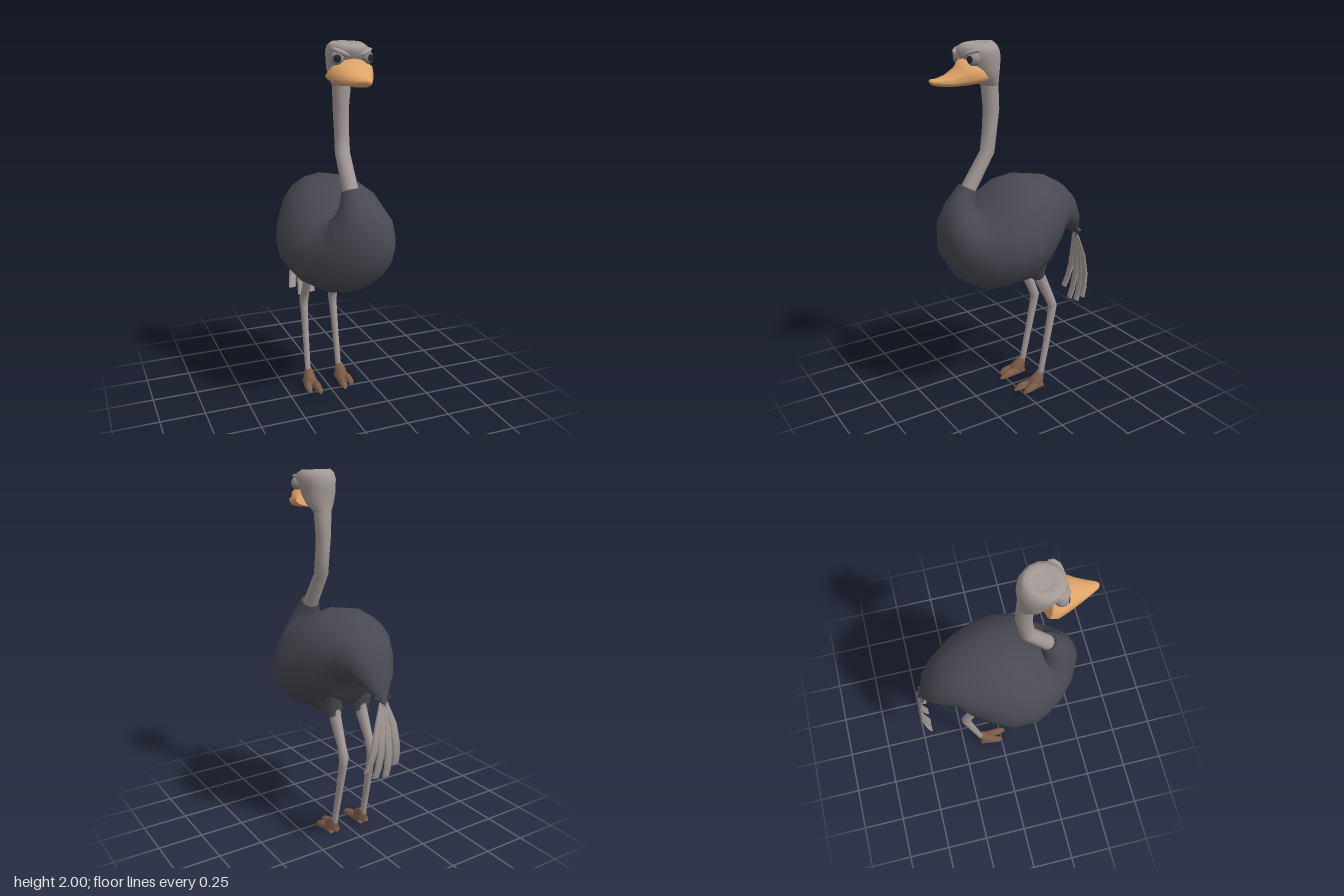
import * as THREE from 'three';

const mat = (name, color, side = THREE.FrontSide) => {
  const m = new THREE.MeshStandardMaterial({ color, side });
  m.name = name;
  return m;
};

// Skin over elliptical sections: [z0, y0, z1, y1, halfWidth, x, m].
// (z0,y0) and (z1,y1) are opposite rim points; m says where between them it is widest.
function loft(sections, sides) {
  const pos = [], idx = [];
  const ring = ([z0, y0, z1, y1, w, x = 0, m = 0.5]) => {
    const zc = z0 + (z1 - z0) * m, yc = y0 + (y1 - y0) * m;
    for (let i = 0; i < sides; i++) {
      const a = (i / sides) * Math.PI * 2, s = Math.sin(a);
      const z = s > 0 ? z1 : z0, y = s > 0 ? y1 : y0, k = Math.abs(s);
      pos.push(x + w * Math.cos(a), yc + (y - yc) * k, zc + (z - zc) * k);
    }
  };
  sections.forEach(ring);
  for (let j = 0; j < sections.length - 1; j++) {
    for (let i = 0; i < sides; i++) {
      const a = j * sides + i, b = j * sides + (i + 1) % sides;
      idx.push(a, b, a + sides, b, b + sides, a + sides);
    }
  }
  // End caps have their own vertices so the rim stays crisp
  [sections[0], sections[sections.length - 1]].forEach((s, end) => {
    const start = pos.length / 3;
    ring(s);
    for (let i = 1; i < sides - 1; i++) {
      idx.push(start, start + i + (end ? 0 : 1), start + i + (end ? 1 : 0));
    }
  });
  // Turn the faces outward whatever way the sections run
  const p = i => new THREE.Vector3().fromArray(pos, i * 3);
  let volume = 0;
  for (let i = 0; i < idx.length; i += 3) {
    volume += p(idx[i]).dot(p(idx[i + 1]).cross(p(idx[i + 2])));
  }
  if (volume < 0) idx.reverse();
  const g = new THREE.BufferGeometry();
  g.setAttribute('position', new THREE.Float32BufferAttribute(pos, 3));
  g.setIndex(idx);
  g.computeVertexNormals();
  return g;
}

export function createModel() {
  const plumage = mat('dark plumage', 0x484952);
  const skin = mat('grey skin', 0xa59b98);
  const beakMat = mat('orange beak', 0xe0a468);
  const footMat = mat('brown feet', 0x7c5c4a);
  const eyeMat = mat('grey eye', 0x8d8d92);
  const pupilMat = mat('dark pupil', 0x26272c);

  const model = new THREE.Group();
  const add = (name, geometry, material, parent = model) => {
    const mesh = new THREE.Mesh(geometry, material);
    mesh.name = name;
    parent.add(mesh);
    return mesh;
  };

  // Body from the drooping tail forward to the chest, then up into the neck collar
  add('body', loft([
    [-0.435, 0.875, -0.46, 0.87, 0.012],
    [-0.40, 0.895, -0.44, 0.93, 0.045],
    [-0.35, 0.925, -0.415, 1.04, 0.10],
    [-0.28, 0.945, -0.37, 1.14, 0.14],
    [-0.22, 0.92, -0.30, 1.21, 0.175],
    [-0.185, 0.84, -0.20, 1.265, 0.23],
    [-0.13, 0.76, -0.05, 1.29, 0.285],
    [0.0, 0.70, 0.06, 1.27, 0.328, 0, 0.46],
    [0.15, 0.69, 0.16, 1.21, 0.322, 0, 0.48],
    [0.25, 0.70, 0.22, 1.165, 0.28, 0, 0.48],
    [0.35, 0.765, 0.245, 1.15, 0.235],
    [0.43, 0.90, 0.25, 1.145, 0.18],
    [0.45, 1.06, 0.245, 1.155, 0.125],
    [0.41, 1.18, 0.24, 1.195, 0.078],
    [0.325, 1.285, 0.232, 1.235, 0.052],
  ], 16), plumage);

  // Ragged tips at the end of the tail
  for (let i = -2; i <= 2; i++) {
    const tip = add('tailTip', new THREE.ConeGeometry(0.013, 0.06, 5), plumage);
    tip.position.set(i * 0.012, 0.88, -0.447 + Math.abs(i) * 0.006);
    tip.rotation.set(Math.PI + 0.5 - Math.abs(i) * 0.3, 0, i * 0.3);
  }

  // Fan of four long, thin tail feathers
  for (const [end, low] of [[-0.09, 0.5], [-0.03, 0.445], [0.035, 0.455], [0.09, 0.5]]) {
    const fan = [[0, -0.435, 0.012], [0.35, -0.462, 0.024], [0.65, -0.466, 0.026],
      [0.85, -0.452, 0.025], [1, -0.432, 0.024]];
    add('tailFeather', loft(fan.map(([t, z, w]) => {
      const y = 0.89 + (low - 0.89) * t;
      return [z + 0.006, y, z - 0.006, y, w, end * (0.1 + 0.9 * Math.pow(t, 0.7))];
    }), 6), skin);
  }

  // Curved neck
  add('neck', loft([
    [0.33, 1.22, 0.25, 1.18, 0.042],
    [0.312, 1.27, 0.238, 1.235, 0.042],
    [0.195, 1.445, 0.12, 1.43, 0.04],
    [0.182, 1.55, 0.104, 1.54, 0.039],
    [0.175, 1.66, 0.088, 1.655, 0.041],
    [0.184, 1.79, 0.095, 1.79, 0.05],
  ], 12), skin);

  // Head with a slightly dished crown
  const head = new THREE.Group();
  head.name = 'head';
  model.add(head);
  add('skull', loft([
    [0.184, 1.78, 0.095, 1.78, 0.05],
    [0.23, 1.815, 0.096, 1.83, 0.078],
    [0.27, 1.87, 0.092, 1.87, 0.093],
    [0.29, 1.915, 0.088, 1.915, 0.098],
    [0.318, 1.945, 0.09, 1.95, 0.105],
    [0.312, 1.975, 0.105, 1.98, 0.099],
    [0.28, 1.99, 0.125, 2.0, 0.076],
    [0.245, 1.984, 0.155, 1.986, 0.045],
  ], 14), skin, head);

  // Broad, flat beak tapering to a rounded tip
  add('beak', loft([
    [0.20, 1.80, 0.24, 1.89, 0.118, 0, 0.38],
    [0.235, 1.795, 0.29, 1.92, 0.126, 0, 0.33],
    [0.30, 1.79, 0.32, 1.882, 0.10, 0, 0.35],
    [0.37, 1.788, 0.38, 1.848, 0.066, 0, 0.4],
    [0.43, 1.793, 0.43, 1.834, 0.038],
    [0.465, 1.803, 0.465, 1.832, 0.02],
    [0.476, 1.815, 0.476, 1.828, 0.008],
  ], 12), beakMat, head);

  for (const side of [1, -1]) {
    const label = side > 0 ? 'left' : 'right';

    // Eye, pupil and frowning brow
    const eye = add(label + 'Eye', new THREE.SphereGeometry(0.034, 14, 10), eyeMat, head);
    eye.position.set(side * 0.077, 1.922, 0.272);
    const pupil = add(label + 'Pupil',
      new THREE.SphereGeometry(0.0355, 14, 4, 0, Math.PI * 2, 0, 0.55).rotateX(Math.PI / 2), pupilMat, head);
    pupil.position.copy(eye.position);
    pupil.rotation.y = side * 0.35;
    const brow = add(label + 'Brow', new THREE.SphereGeometry(1, 10, 6), skin, head);
    brow.scale.set(0.054, 0.015, 0.04);
    brow.position.set(side * 0.056, 1.948, 0.275);
    brow.rotation.set(0, side * 0.35, side * 0.35);

    // Feathered thigh
    add(label + 'Thigh', loft([
      [0.0, 0.84, -0.17, 0.88, 0.085, side * 0.11],
      [-0.035, 0.75, -0.155, 0.79, 0.066, side * 0.095],
      [-0.05, 0.712, -0.15, 0.745, 0.052, side * 0.09],
      [-0.085, 0.686, -0.15, 0.722, 0.043, side * 0.088],
    ], 10), plumage);

    // Leg bending back at the knobbly joint
    add(label + 'Leg', loft([
      [-0.075, 0.73, -0.15, 0.76, 0.034, side * 0.086],
      [-0.092, 0.685, -0.155, 0.715, 0.032, side * 0.087],
      [-0.165, 0.55, -0.217, 0.57, 0.023, side * 0.09],
      [-0.19, 0.495, -0.242, 0.505, 0.028, side * 0.091],
      [-0.185, 0.455, -0.234, 0.45, 0.023, side * 0.092],
      [-0.155, 0.28, -0.195, 0.27, 0.019, side * 0.095],
      [-0.115, 0.07, -0.15, 0.065, 0.017, side * 0.098],
    ], 10), skin);

    // Foot: ankle cuff and two toes
    const foot = new THREE.Group();
    foot.name = label + 'Foot';
    model.add(foot);
    add('ankle', loft([
      [-0.11, 0.092, -0.147, 0.088, 0.022, side * 0.098],
      [-0.085, 0.075, -0.149, 0.06, 0.031, side * 0.1],
      [-0.045, 0.042, -0.146, 0.022, 0.04, side * 0.1],
      [-0.05, 0.015, -0.135, 0.008, 0.034, side * 0.1],
    ], 8), footMat, foot);
    for (const [x, splay, tip] of [[0.083, -0.006, 0.035], [0.119, 0.012, 0.005]]) {
      add('toe', loft([
        [-0.14, 0.004, -0.13, 0.035, 0.018, side * x],
        [-0.08, 0, -0.08, 0.05, 0.024, side * x],
        [tip - 0.055, 0, tip - 0.055, 0.045, 0.025, side * (x + splay * 0.5)],
        [tip - 0.02, 0, tip - 0.025, 0.034, 0.02, side * (x + splay)],
        [tip, 0, tip, 0.01, 0.009, side * (x + splay)],
      ].map(s => [...s, 0.35]), 8), footMat, foot);
    }
  }
  return model;
}
